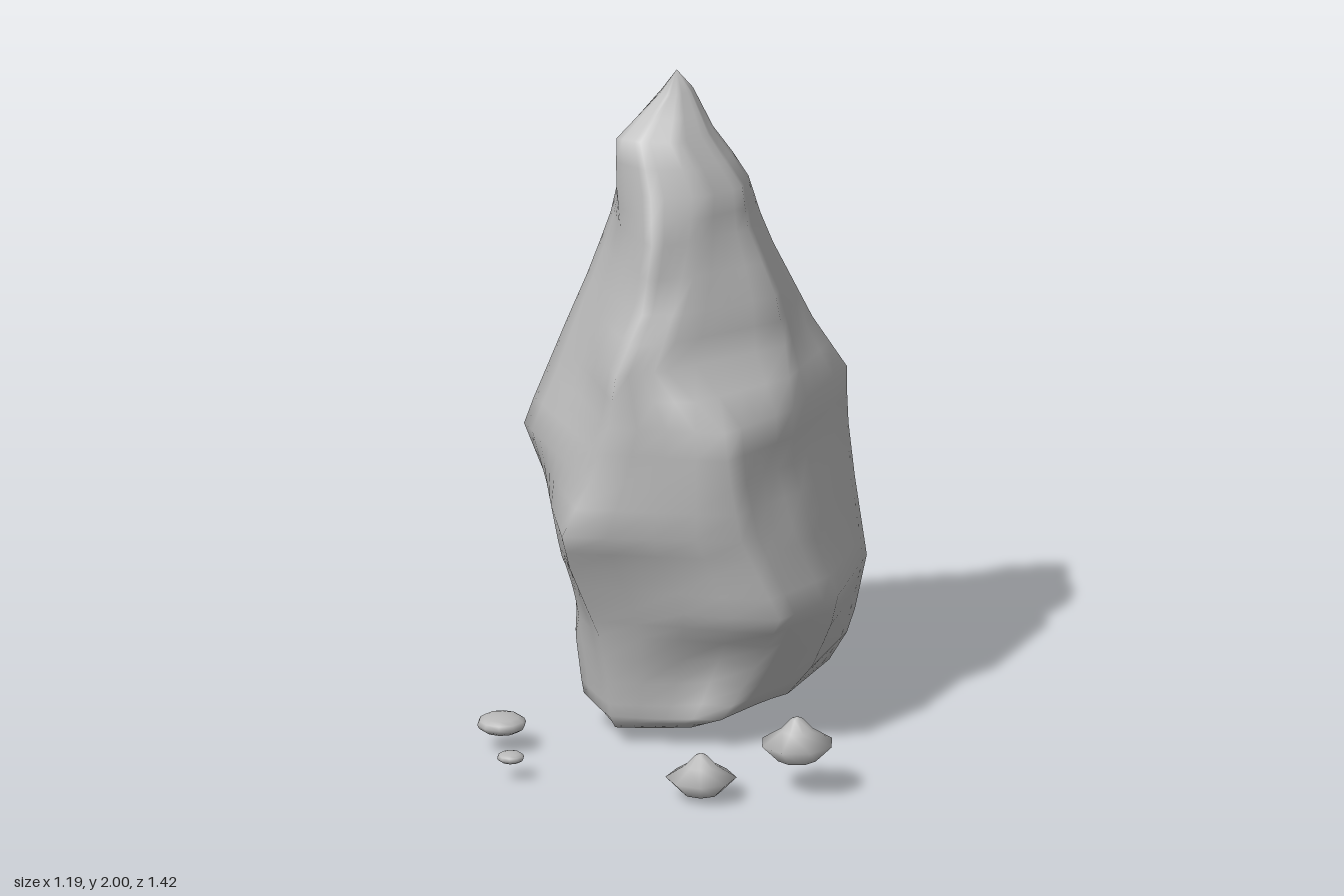
import * as THREE from 'three';

// Cross-sections, bottom to top: y, xMin, xMax, zMin, zMax, x of front ridge, x of back ridge
const SECTIONS = [
  [0.08, -0.27, 0.12, -0.37, 0.25, -0.19, -0.05],
  [0.12, -0.38, 0.24, -0.41, 0.27, -0.20, -0.06],
  [0.20, -0.48, 0.30, -0.48, 0.28, -0.20, -0.09],
  [0.35, -0.46, 0.37, -0.60, 0.30, -0.22, -0.13],
  [0.45, -0.49, 0.40, -0.71, 0.33, -0.25, -0.15],
  [0.58, -0.52, 0.36, -0.63, 0.38, -0.28, -0.12],
  [0.70, -0.55, 0.33, -0.57, 0.44, -0.28, -0.08],
  [0.87, -0.60, 0.28, -0.54, 0.39, -0.21, -0.02],
  [1.04, -0.54, 0.28, -0.54, 0.37, -0.16, 0.03],
  [1.20, -0.48, 0.21, -0.49, 0.36, -0.14, 0.02],
  [1.35, -0.42, 0.18, -0.42, 0.21, -0.12, 0.00],
  [1.55, -0.35, 0.09, -0.31, 0.16, -0.11, -0.05],
  [1.68, -0.32, 0.07, -0.24, 0.10, -0.14, -0.10],
  [1.83, -0.29, -0.04, -0.24, 0.04, -0.20, -0.14],
  [1.94, -0.21, -0.12, -0.21, -0.09, -0.17, -0.16],
];

// Corners between the ridges: y, then x and z of front -x, front +x, back +x and back -x,
// then z of the -x and +x side ridges
const CORNERS = [
  [0.08, -0.24, 0.16, 0.03, 0.18, 0.11, -0.33, -0.22, -0.33, -0.08, 0.00],
  [0.12, -0.34, 0.14, 0.13, 0.20, 0.23, -0.38, -0.41, -0.42, -0.10, -0.05],
  [0.22, -0.36, 0.14, 0.21, 0.18, 0.28, -0.43, -0.47, -0.48, -0.12, -0.10],
  [0.45, -0.42, 0.10, 0.33, 0.21, 0.33, -0.43, -0.44, -0.66, -0.10, -0.06],
  [0.70, -0.42, 0.20, 0.23, 0.27, 0.30, -0.41, -0.48, -0.53, -0.05, 0.00],
  [0.90, -0.40, 0.20, 0.20, 0.29, 0.28, -0.40, -0.47, -0.47, 0.00, 0.00],
  [1.04, -0.34, 0.16, 0.18, 0.28, 0.27, -0.42, -0.45, -0.47, -0.03, 0.00],
  [1.20, -0.33, 0.10, -0.02, 0.25, 0.18, -0.37, -0.44, -0.41, -0.05, -0.10],
  [1.50, -0.26, 0.04, 0.00, 0.06, 0.07, -0.27, -0.35, -0.31, -0.08, -0.10],
  [1.70, -0.28, 0.04, 0.00, 0.01, 0.04, -0.20, -0.29, -0.23, -0.08, -0.10],
  [1.83, -0.28, 0.035, -0.09, 0.00, -0.06, -0.18, -0.27, -0.21, -0.08, -0.10],
  [1.94, -0.20, -0.10, -0.14, -0.11, -0.13, -0.19, -0.20, -0.19, -0.14, -0.15],
];

// Dents and bulges: centre, radius, push
const DENTS = [
  [[0.10, 0.25, 0.20], 0.12, [-0.02, 0, -0.06]],
  [[0.13, 0.43, 0.28], 0.09, [0.01, 0, 0.03]],
  [[-0.43, 0.38, 0.06], 0.09, [0.03, 0, -0.02]],
];

const EDGE_STEPS = 4, AROUND = 8 * EDGE_STEPS, RING_STEPS = 2;
const lerp = THREE.MathUtils.lerp;

function cornersAt(y) {
  const k = Math.max(1, CORNERS.findIndex((row) => row[0] >= y));
  const low = CORNERS[k - 1], high = CORNERS[k];
  const t = (y - low[0]) / (high[0] - low[0]);
  return low.slice(1).map((v, i) => lerp(v, high[i + 1], t));
}

function createBoulderGeometry() {
  const positions = [], indices = [];

  // One eight-sided ring, with each side subdivided
  function addRing([y, xMin, xMax, zMin, zMax, frontX, backX]) {
    const c = cornersAt(y);
    const outline = [
      [xMin, c[8]], [c[0], c[1]], [frontX, zMax], [c[2], c[3]],
      [xMax, c[9]], [c[4], c[5]], [backX, zMin], [c[6], c[7]],
    ];
    for (let i = 0; i < AROUND; i++) {
      const side = Math.floor(i / EDGE_STEPS), t = i / EDGE_STEPS - side;
      const a = outline[side], b = outline[(side + 1) % 8];
      const p = new THREE.Vector3(lerp(a[0], b[0], t), y, lerp(a[1], b[1], t));
      const moved = p.clone();
      for (const [centre, radius, push] of DENTS) {
        const d = p.distanceTo(new THREE.Vector3(...centre)) / radius;
        moved.addScaledVector(new THREE.Vector3(...push), Math.exp(-d * d));
      }
      positions.push(moved.x, moved.y, moved.z);
    }
  }

  SECTIONS.forEach((section, r) => {
    const next = SECTIONS[r + 1];
    if (!next) return addRing(section);
    for (let k = 0; k < RING_STEPS; k++) {
      addRing(section.map((v, j) => lerp(v, next[j], k / RING_STEPS)));
    }
  });

  const rings = positions.length / 3 / AROUND;
  const bottom = positions.length / 3, top = bottom + 1;
  positions.push(-0.1, 0.08, -0.02, -0.17, 2, -0.16);
  for (let i = 0; i < AROUND; i++) {
    const j = (i + 1) % AROUND;
    for (let r = 0; r < rings - 1; r++) {
      const a = r * AROUND + i, b = r * AROUND + j;
      indices.push(a, b, b + AROUND, a, b + AROUND, a + AROUND);
    }
    const last = (rings - 1) * AROUND;
    indices.push(bottom, j, i, last + i, last + j, top);
  }

  // Lower the front of the base to its foot
  for (let i = 0; i < positions.length; i += 3) {
    if (positions[i + 1] < 0.19) {
      positions[i + 1] -= 0.03 * THREE.MathUtils.smoothstep(positions[i + 2], 0, 0.25);
    }
  }

  const geometry = new THREE.BufferGeometry();
  geometry.setAttribute('position', new THREE.Float32BufferAttribute(positions, 3));
  geometry.setIndex(indices);
  geometry.computeVertexNormals();
  return geometry;
}

export function createModel() {
  const group = new THREE.Group();
  const stone = new THREE.MeshStandardMaterial({ color: 0xb8b8b8 });
  stone.name = 'grey stone';

  function add(name, geometry, position, scale, turn = 0) {
    const mesh = new THREE.Mesh(geometry, stone);
    mesh.name = name;
    mesh.position.set(...position);
    mesh.scale.set(...scale);
    mesh.rotation.y = turn;
    group.add(mesh);
  }

  add('boulder', createBoulderGeometry(), [0, 0, 0], [1, 1, 1]);

  // Peaked chips, with a rounded underside and a concave top
  const profile = [[0, -0.07], [0.06, -0.052], [0.112, 0], [0.05, 0.04], [0.018, 0.075], [0, 0.083]]
    .map(([x, y]) => new THREE.Vector2(x, y));
  const chip = new THREE.LatheGeometry(profile, 8);
  add('rightChip', chip, [0.48, 0.155, 0.425], [1, 1, 1]);
  add('frontChip', chip, [0.24, 0.065, 0.59], [0.95, 0.92, 0.95], Math.PI / 8);

  // Flat pebbles
  const pebble = new THREE.SphereGeometry(1, 10, 8);
  add('largePebble', pebble, [-0.48, 0.08, 0.43], [0.074, 0.031, 0.076]);
  add('smallPebble', pebble, [-0.345, 0.07, 0.67], [0.041, 0.018, 0.041]);

  return group;
}
